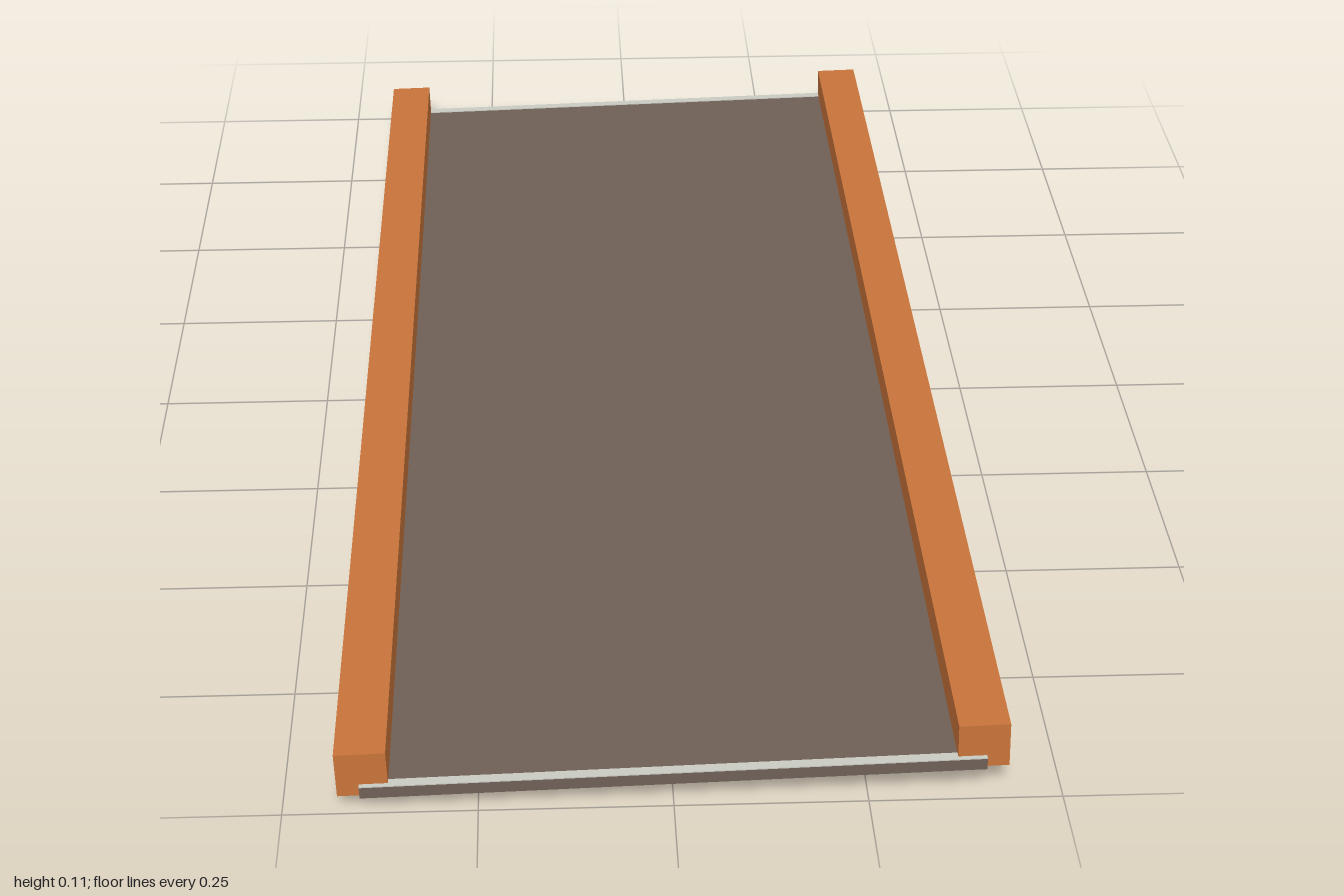
import * as THREE from 'three';

export function createModel() {
  const wood = new THREE.MeshStandardMaterial({ color: 0xc8743a });
  wood.name = 'orange wood';
  const deckBrown = new THREE.MeshStandardMaterial({ color: 0x6f6056 });
  deckBrown.name = 'grey brown';
  const pale = new THREE.MeshStandardMaterial({ color: 0xc9cac2 });
  pale.name = 'pale grey';

  const model = new THREE.Group();
  model.name = 'railedRamp';

  // Box standing on the given base height
  const addBox = (name, material, [w, h, d], [x, base, z]) => {
    const mesh = new THREE.Mesh(new THREE.BoxGeometry(w, h, d), material);
    mesh.name = name;
    mesh.position.set(x, base + h / 2, z);
    model.add(mesh);
  };

  // Flat deck running the full length
  addBox('deck', deckBrown, [0.8, 0.0165, 1.998], [0, -0.0005, 0]);

  // Side rails on the deck edges, and pale strips across the deck ends
  for (const s of [1, -1]) {
    const side = s > 0 ? 'left' : 'right';
    const end = s > 0 ? 'front' : 'back';
    addBox(side + 'Rail', wood, [0.066, 0.065, 1.986], [s * 0.396, 0, 0]);
    addBox(end + 'EdgeStrip', pale, [0.8, 0.0015, 0.014], [0, 0.016, s * 0.992]);
  }

  // The whole ramp leans slightly sideways and lengthways
  model.rotation.set(-0.0115, 0, 0.029);
  model.position.y = 0.025;

  const root = new THREE.Group();
  root.name = 'ramp';
  root.add(model);
  return root;
}
